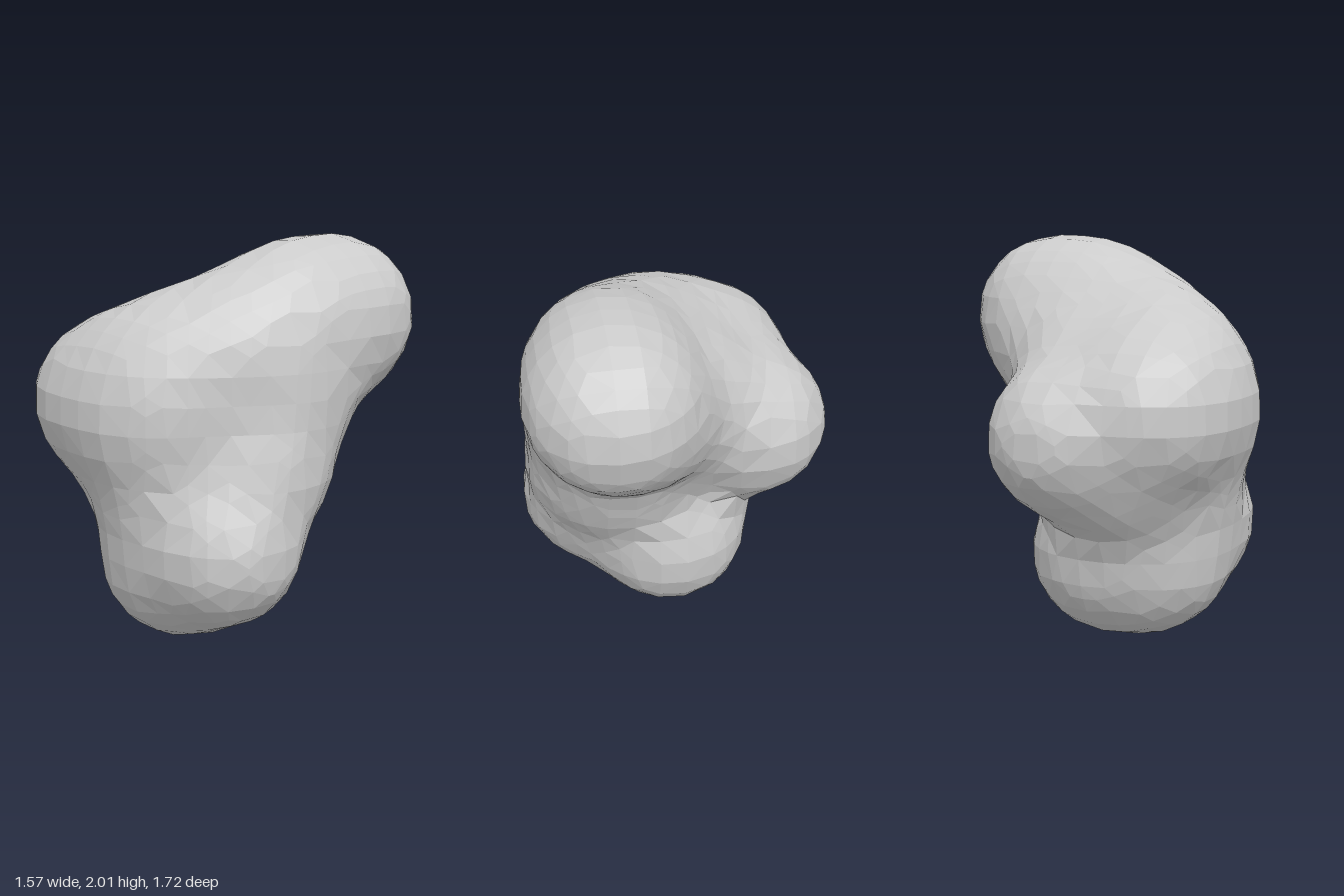
import * as THREE from 'three';

// Lobes of the blob: x, y, z, radius
const LOBES = [
  [0.38, 1.59, -0.455, 0.395], [0.37, 1.60, -0.16, 0.36], [0.22, 1.42, -0.30, 0.335], // upper back lobe
  [0.29, 1.47, 0.10, 0.36], [0.14, 1.37, 0.30, 0.36], [-0.03, 1.29, -0.01, 0.36],    // saddle between the lobes
  [-0.42, 1.06, 0.06, 0.37], [-0.24, 0.85, 0.28, 0.30],                              // side lobe and its underside
  [-0.26, 1.20, 0.46, 0.385], [0.00, 1.30, 0.42, 0.35], [0.06, 1.15, 0.45, 0.375],   // front lobe
  [0.02, 0.41, 0.08, 0.395], [0.06, 0.40, 0.315, 0.365],                             // foot
  [0.41, 0.53, 0.32, 0.36], [0.40, 0.90, 0.12, 0.34], [0.39, 1.25, -0.05, 0.345],    // flank
  [0.28, 0.92, 0.00, 0.33], [0.08, 0.78, 0.35, 0.36],                                // back and core
];
const BLEND = 0.075, STEP = 0.136, N = 18;
const ORIGIN = new THREE.Vector3(-1.033, -0.152, -1.028);

// Signed distance to the smoothly blended lobes
function field(p) {
  let sum = 0;
  for (const [x, y, z, r] of LOBES) {
    sum += Math.exp((r - Math.hypot(p.x - x, p.y - y, p.z - z)) / BLEND);
  }
  return -BLEND * Math.log(sum);
}

// Move a point along the gradient onto the surface
function project(p) {
  const h = 0.01;
  for (let i = 0; i < 4; i++) {
    const d = field(p);
    const g = new THREE.Vector3(...['x', 'y', 'z'].map((k) => {
      const q = p.clone();
      q[k] += h;
      return (field(q) - d) / h;
    }));
    p.addScaledVector(g, -d / Math.max(g.lengthSq(), 0.3));
  }
  return p;
}

// Coarse grid skin: one vertex per crossed cell, one quad per crossed edge
function skin() {
  const id = (i, j, k) => (i * N + j) * N + k;
  const point = (i, j, k) => new THREE.Vector3(i, j, k).multiplyScalar(STEP).add(ORIGIN);
  const values = new Float32Array(N ** 3);
  for (let i = 0; i < N; i++) for (let j = 0; j < N; j++) for (let k = 0; k < N; k++) {
    values[id(i, j, k)] = field(point(i, j, k));
  }
  const axes = [[1, 0, 0], [0, 1, 0], [0, 0, 1]];
  const sums = new Map(), quads = [];
  for (let i = 1; i < N - 1; i++) for (let j = 1; j < N - 1; j++) for (let k = 1; k < N - 1; k++) {
    axes.forEach((a, n) => {
      const v = values[id(i, j, k)], w = values[id(i + a[0], j + a[1], k + a[2])];
      if ((v < 0) === (w < 0)) return;
      const hit = point(i, j, k).lerp(point(i + a[0], j + a[1], k + a[2]), v / (v - w));
      const b = id(...axes[(n + 1) % 3]), c = id(...axes[(n + 2) % 3]), o = id(i, j, k);
      const quad = [o, o - b, o - b - c, o - c];
      for (const cell of quad) {
        if (!sums.has(cell)) sums.set(cell, { p: new THREE.Vector3(), n: 0, index: sums.size });
        const s = sums.get(cell);
        s.p.add(hit);
        s.n++;
      }
      quads.push(v < 0 ? quad : quad.reverse());
    });
  }
  const verts = [...sums.values()].map((s) => project(s.p.divideScalar(s.n)));
  const index = [];
  for (const quad of quads) {
    const [a, b, c, d] = quad.map((cell) => sums.get(cell).index);
    // Split along the shorter diagonal
    if (verts[a].distanceTo(verts[c]) < verts[b].distanceTo(verts[d])) index.push(a, b, c, a, c, d);
    else index.push(a, b, d, b, c, d);
  }
  const geo = new THREE.BufferGeometry().setFromPoints(verts);
  geo.setIndex(index);
  return geo;
}

export function createModel() {
  const flat = skin().toNonIndexed();
  flat.computeVertexNormals();
  const blob = new THREE.Mesh(flat, new THREE.MeshStandardMaterial({ color: 0xcccccc, flatShading: true }));
  blob.name = 'blob';
  const group = new THREE.Group();
  group.name = 'lumpyBlob';
  group.add(blob);
  return group;
}
